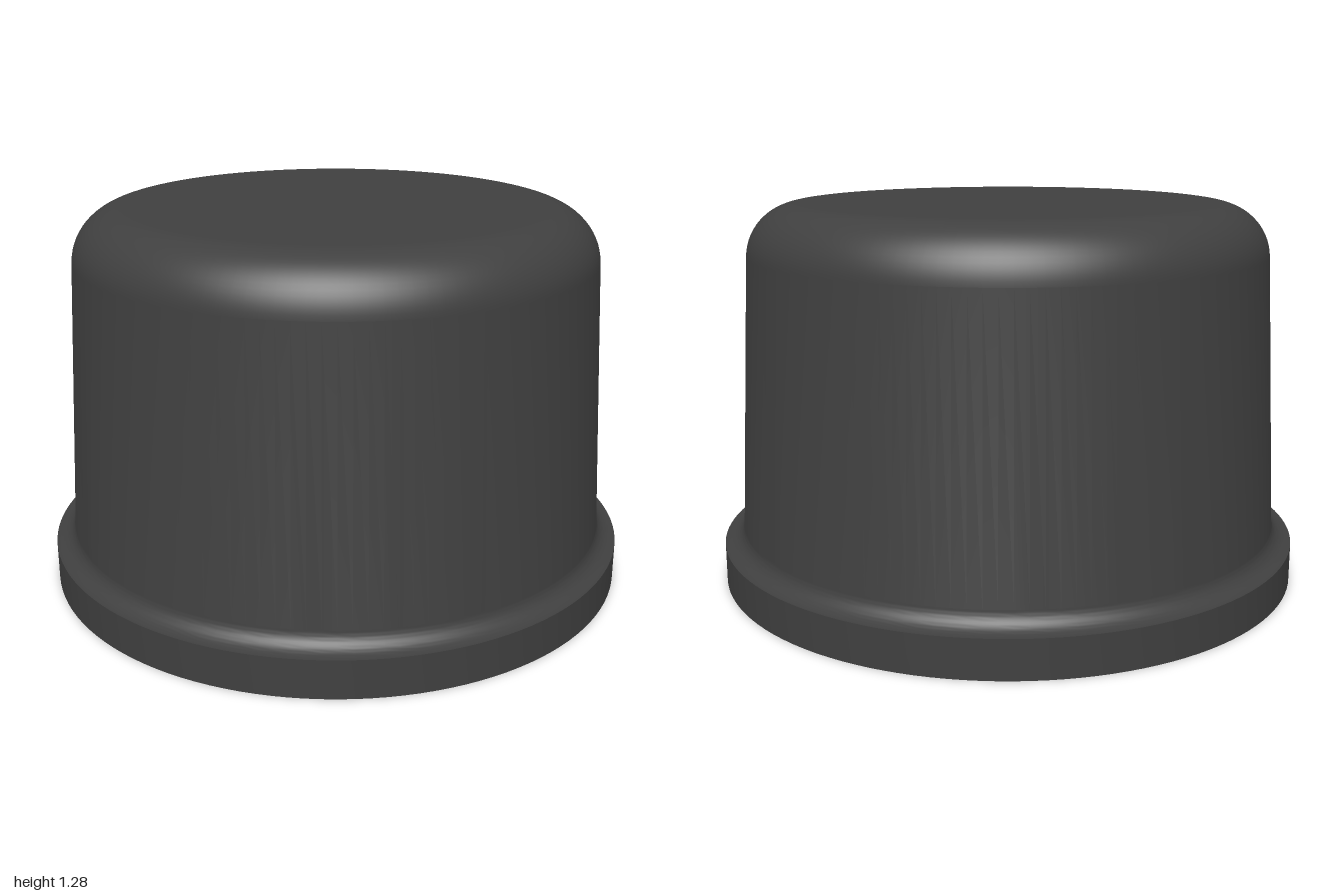
import * as THREE from 'three';
import { toCreasedNormals } from 'three/addons/utils/BufferGeometryUtils.js';

export function createModel() {
  const group = new THREE.Group();
  group.name = 'cap';

  const height = 1.285, rimHeight = 0.13;
  const topRadius = 0.18, filletRadius = 0.062;
  const taper = 0.053; // lean of the side wall, in radians

  // Half section from the bottom centre, round the rim, up the wall to the top centre
  const profile = new THREE.Path();
  profile.moveTo(0, 0);
  profile.lineTo(1, 0);
  profile.lineTo(1, rimHeight);
  profile.absarc(0.995, rimHeight + filletRadius, filletRadius, -Math.PI / 2, -Math.PI + taper, true);
  profile.absarc(0.705, height - topRadius, topRadius, taper, Math.PI / 2, false);
  profile.lineTo(0, height);

  const lathe = new THREE.LatheGeometry(profile.getPoints(8), 128);
  const body = new THREE.Mesh(
    toCreasedNormals(lathe, 0.6),
    new THREE.MeshStandardMaterial({ color: 0x404040 })
  );
  body.name = 'capBody';
  group.add(body);

  return group;
}
